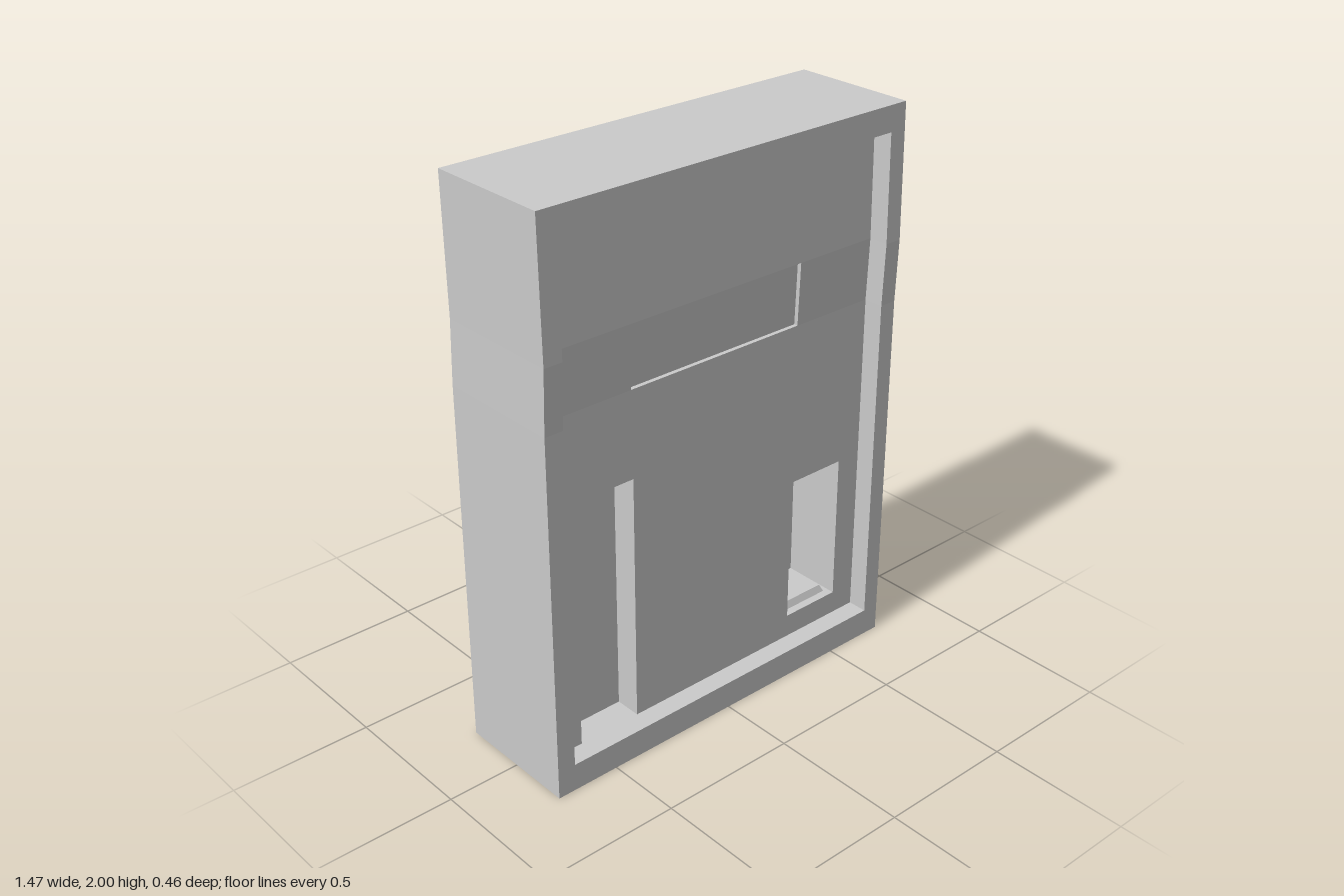
import * as THREE from 'three';

const FRONT = 0.227, BACK = -0.23, PANEL = 0.155;

// Rectangular recesses cut into the front, later ones override: x0, x1, y0, y1, floor z
const recesses = [
  [-0.67, 0.67, 0.1, 1.91, PANEL],          // framed panel
  [-0.355, 0.35, 1.31, 1.53, PANEL - 0.015], // shallow sign window
  [-0.585, -0.35, 0.1, 1.0, PANEL - 0.095],  // tall slot
  [0.345, 0.575, 0.185, 0.725, PANEL - 0.217], // dispenser niche
];

const cuts = (ends, a, b) =>
  [...new Set([...ends, ...recesses.flatMap((r) => [r[a], r[b]])])].sort((p, q) => p - q);

// The casing bulges very slightly at the top of the sign window
function bulge(y) {
  if (y <= 1.31) return 0;
  return y <= 1.53 ? (y - 1.31) / 0.22 : (2 - y) / 0.47;
}

function casingGeometry() {
  const xs = cuts([-0.737, 0.733], 0, 1);
  const ys = cuts([0, 2], 2, 3);
  const nx = xs.length - 1, ny = ys.length - 1;
  const pos = [];
  const quad = (...c) => {
    for (const i of [0, 1, 2, 0, 2, 3]) {
      const [x, y, z] = c[i];
      pos.push(x + 0.003 * bulge(y), y, z + 0.005 * bulge(y));
    }
  };
  // Front surface z of a grid cell; outside the casing it falls to the back
  const depth = (i, j) => {
    if (i < 0 || j < 0 || i >= nx || j >= ny) return BACK;
    const x = (xs[i] + xs[i + 1]) / 2, y = (ys[j] + ys[j + 1]) / 2;
    let z = FRONT;
    for (const [x0, x1, y0, y1, d] of recesses) {
      if (x > x0 && x < x1 && y > y0 && y < y1) z = d;
    }
    return z;
  };

  for (let i = 0; i <= nx; i++) {
    for (let j = 0; j <= ny; j++) {
      const x0 = xs[i], x1 = xs[i + 1], y0 = ys[j], y1 = ys[j + 1];
      const z = depth(i, j), zl = depth(i - 1, j), zb = depth(i, j - 1);
      // front and back faces
      if (i < nx && j < ny) {
        quad([x0, y0, z], [x1, y0, z], [x1, y1, z], [x0, y1, z]);
        quad([x1, y0, BACK], [x0, y0, BACK], [x0, y1, BACK], [x1, y1, BACK]);
      }
      // walls: the corner order follows the sign of the step
      if (j < ny && z !== zl) quad([x0, y0, zl], [x0, y0, z], [x0, y1, z], [x0, y1, zl]);
      if (i < nx && z !== zb) quad([x0, y0, z], [x0, y0, zb], [x1, y0, zb], [x1, y0, z]);
    }
  }
  const g = new THREE.BufferGeometry();
  g.setAttribute('position', new THREE.Float32BufferAttribute(pos, 3));
  g.computeVertexNormals();
  return g;
}

export function createModel() {
  const model = new THREE.Group();
  model.name = 'vendingMachine';
  const material = new THREE.MeshStandardMaterial({ color: 0xcccccc, flatShading: true });
  const add = (name, geometry, x, y, z) => {
    const mesh = new THREE.Mesh(geometry, material);
    mesh.name = name;
    mesh.position.set(x, y, z);
    model.add(mesh);
    return mesh;
  };

  add('casing', casingGeometry(), 0, 0, 0);

  // six-sided spout under the niche ceiling
  add('spout', new THREE.CylinderGeometry(0.05, 0.05, 0.04, 6), 0.46, 0.705, 0.045)
    .rotation.y = Math.PI / 6;

  // drip tray on the niche floor, narrower at the top
  const tray = new THREE.BoxGeometry(0.19, 0.025, 0.165);
  const p = tray.attributes.position;
  for (let i = 0; i < p.count; i++) {
    if (p.getY(i) > 0) p.setXYZ(i, p.getX(i) * 0.89, p.getY(i), p.getZ(i) * 0.86);
  }
  tray.computeVertexNormals();
  add('dripTray', tray, 0.46, 0.1975, 0.043);

  return model;
}
